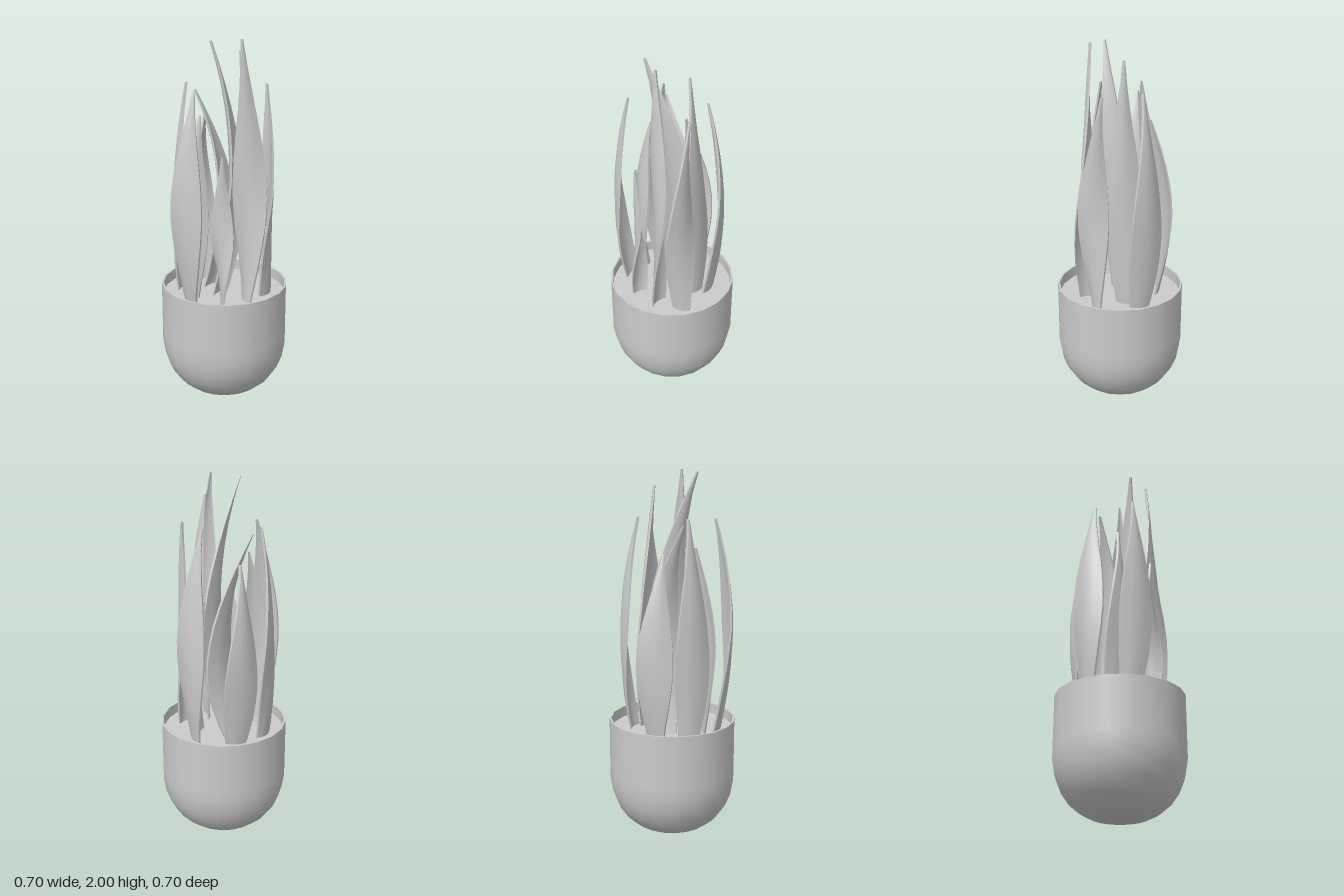
import * as THREE from 'three';

const SIDES = 20, SOIL_Y = 0.59;
const material = new THREE.MeshStandardMaterial({ color: 0xcccccc, side: THREE.DoubleSide });
const rad = THREE.MathUtils.degToRad;

function add(parent, name, geometry) {
  const mesh = new THREE.Mesh(geometry, material);
  mesh.name = name;
  parent.add(mesh);
  return mesh;
}

const lathe = (points) =>
  new THREE.LatheGeometry(points.map(([r, y]) => new THREE.Vector2(r, y)), SIDES);

// Width of a leaf along its height, as a share of its widest part
const widthCurve = new THREE.SplineCurve(
  [[0, 0.55], [0.25, 0.84], [0.5, 1], [0.75, 0.82], [0.92, 0.4], [1, 0.05]]
    .map(([t, w]) => new THREE.Vector2(t, w)));

// Twisted, cupped blade: a thin box bent along a spine from base to middle to tip
function leafGeometry({ base, mid, tip, height, turn, width }) {
  const spine = new THREE.QuadraticBezierCurve3(
    new THREE.Vector3(base[0], SOIL_Y - 0.02, base[1]),
    new THREE.Vector3(),
    new THREE.Vector3(tip[0], height, tip[1]));
  // Control point that makes the spine pass through the middle point
  const midPoint = new THREE.Vector3(mid[0], (SOIL_Y - 0.02 + height) / 2, mid[1]);
  spine.v1.copy(midPoint).multiplyScalar(2).addScaledVector(spine.v0, -0.5).addScaledVector(spine.v2, -0.5);

  const geometry = new THREE.BoxGeometry(1, 1, 1, 4, 12, 1);
  const pos = geometry.attributes.position;
  for (let i = 0; i < pos.count; i++) {
    const s = pos.getX(i) * 2, t = pos.getY(i) + 0.5;
    const w = width * widthCurve.getPoint(t).y;
    // Twist fades out towards the tip
    const k = t < 0.5 ? t * 2 : 1 + (t - 0.5) * 1.2;
    const angle = rad(THREE.MathUtils.lerp(turn[0], turn[1], k));
    const c = Math.cos(angle), n = Math.sin(angle);
    const p = spine.getPoint(t);
    const across = s * w / 2;
    const out = pos.getZ(i) * 0.011 + 0.14 * w * (0.5 - s * s);
    pos.setXYZ(i, p.x + c * across - n * out, p.y, p.z + n * across + c * out);
  }
  geometry.computeVertexNormals();
  return geometry;
}

// Ground positions are [x, z]; turn is the blade's direction at base and middle
const LEAVES = [
  // outer ring
  { base: [-0.235, 0.09], mid: [-0.275, 0.14], tip: [-0.205, 0.105], height: 1.75, turn: [80, 47], width: 0.19 },
  { base: [-0.195, -0.14], mid: [-0.225, -0.14], tip: [-0.17, -0.115], height: 1.76, turn: [143, 113], width: 0.2 },
  { base: [0.185, -0.105], mid: [0.218, -0.15], tip: [0.14, -0.115], height: 1.76, turn: [260, 229], width: 0.19 },
  { base: [-0.02, -0.205], mid: [-0.05, -0.25], tip: [-0.05, -0.16], height: 1.58, turn: [187, 154], width: 0.2 },
  { base: [-0.2, 0], mid: [-0.2, 0.04], tip: [-0.14, 0.01], height: 1.6, turn: [57, 24], width: 0.18 },
  { base: [0.14, -0.03], mid: [0.16, -0.02], tip: [0.1, -0.02], height: 1.92, turn: [293, 260], width: 0.2 },
  // broad leaves leaning over the centre
  { base: [-0.04, 0.01], mid: [0.045, 0.025], tip: [-0.105, 0.08], height: 1.99, turn: [155, 128], width: 0.21 },
  { base: [-0.04, -0.12], mid: [0.025, -0.075], tip: [-0.13, -0.095], height: 1.72, turn: [160, 136], width: 0.21 },
  // strongly twisted leaves in front
  { base: [-0.08, 0.18], mid: [-0.087, 0.18], tip: [-0.085, 0.185], height: 1.41, turn: [120, 45], width: 0.14 },
  { base: [0.055, 0.17], mid: [0.07, 0.18], tip: [0.035, 0.15], height: 2, turn: [92, 24], width: 0.185 },
  { base: [0.195, 0.13], mid: [0.205, 0.14], tip: [0.203, 0.09], height: 1.76, turn: [335, 278], width: 0.17 },
];

export function createModel() {
  const model = new THREE.Group();
  model.name = 'pottedPlant';

  // Pot with a rounded bottom, thin rim and flat foot
  const pot = new THREE.Group();
  pot.name = 'pot';
  model.add(pot);
  add(pot, 'potWall', lathe([[0.1, 0], [0.15, 0.012], [0.21, 0.042], [0.265, 0.088], [0.308, 0.15],
    [0.336, 0.22], [0.35, 0.3], [0.35, 0.36], [0.35, 0.65]]));
  add(pot, 'potRim', lathe([[0.35, 0.65], [0.339, 0.65]]));
  add(pot, 'potInside', lathe([[0.339, 0.65], [0.339, SOIL_Y]]));
  add(pot, 'potFoot', new THREE.CircleGeometry(0.1, SIDES).rotateX(Math.PI / 2));
  const soil = add(pot, 'soil', new THREE.CircleGeometry(0.339, SIDES).rotateX(-Math.PI / 2));
  soil.position.y = SOIL_Y;

  // Leaves
  const leaves = new THREE.Group();
  leaves.name = 'leaves';
  model.add(leaves);
  LEAVES.forEach((leaf, i) => add(leaves, `leaf${i + 1}`, leafGeometry(leaf)));

  return model;
}
